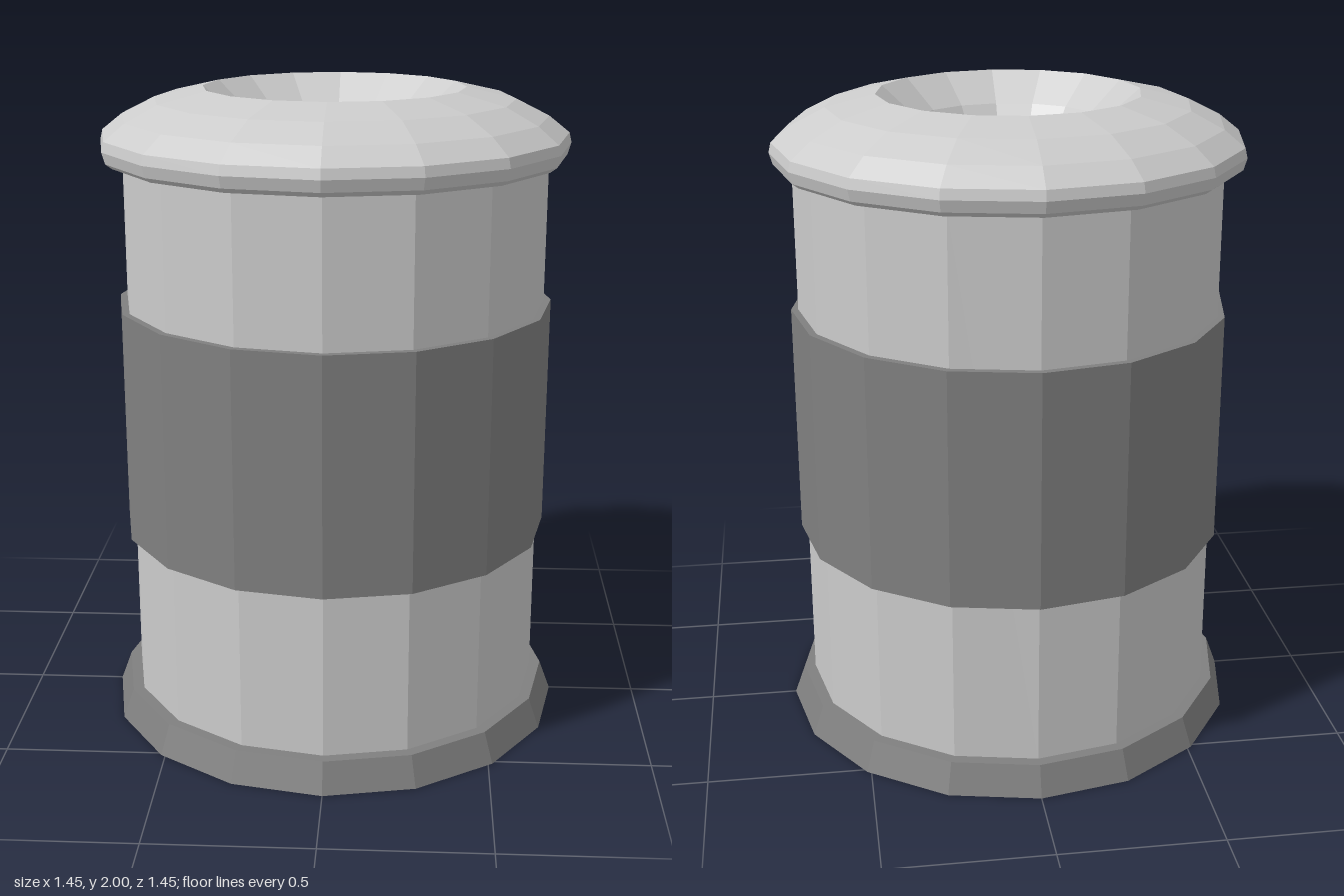
import * as THREE from 'three';

const SIDES = 16;

// Faceted ring part turned from a profile of [radius, height] points
function turned(name, profile, color, side = THREE.FrontSide) {
  const points = profile.map(([r, y]) => new THREE.Vector2(r, y));
  const geometry = new THREE.LatheGeometry(points, SIDES).toNonIndexed();
  geometry.computeVertexNormals();
  const material = new THREE.MeshStandardMaterial({ color, flatShading: true, side });
  const mesh = new THREE.Mesh(geometry, material);
  mesh.name = name;
  return mesh;
}

export function createModel() {
  const model = new THREE.Group();
  model.name = 'trashCan';

  // Flared foot, its top doubling as the floor inside the can
  model.add(turned('base', [[0, 0], [0.725, 0], [0.69, 0.095], [0, 0.095]], 0x808080));

  // Open tube wall, seen from inside through the opening
  model.add(turned('body', [[0.655, 0.09], [0.655, 1.8]], 0xcccccc, THREE.DoubleSide));

  // Dark band around the middle
  model.add(turned('band', [[0.655, 0.615], [0.677, 0.615], [0.677, 1.345], [0.655, 1.345]], 0x808080));

  // Domed lid with a funnel-shaped opening
  model.add(turned('lid', [
    [0.65, 1.785], [0.69, 1.785], [0.71, 1.8], [0.72, 1.835], [0.713, 1.865],
    [0.65, 1.915], [0.55, 1.965], [0.4, 2], [0.295, 1.91], [0.27, 1.87], [0.28, 1.845],
  ], 0xcccccc, THREE.DoubleSide));

  return model;
}
